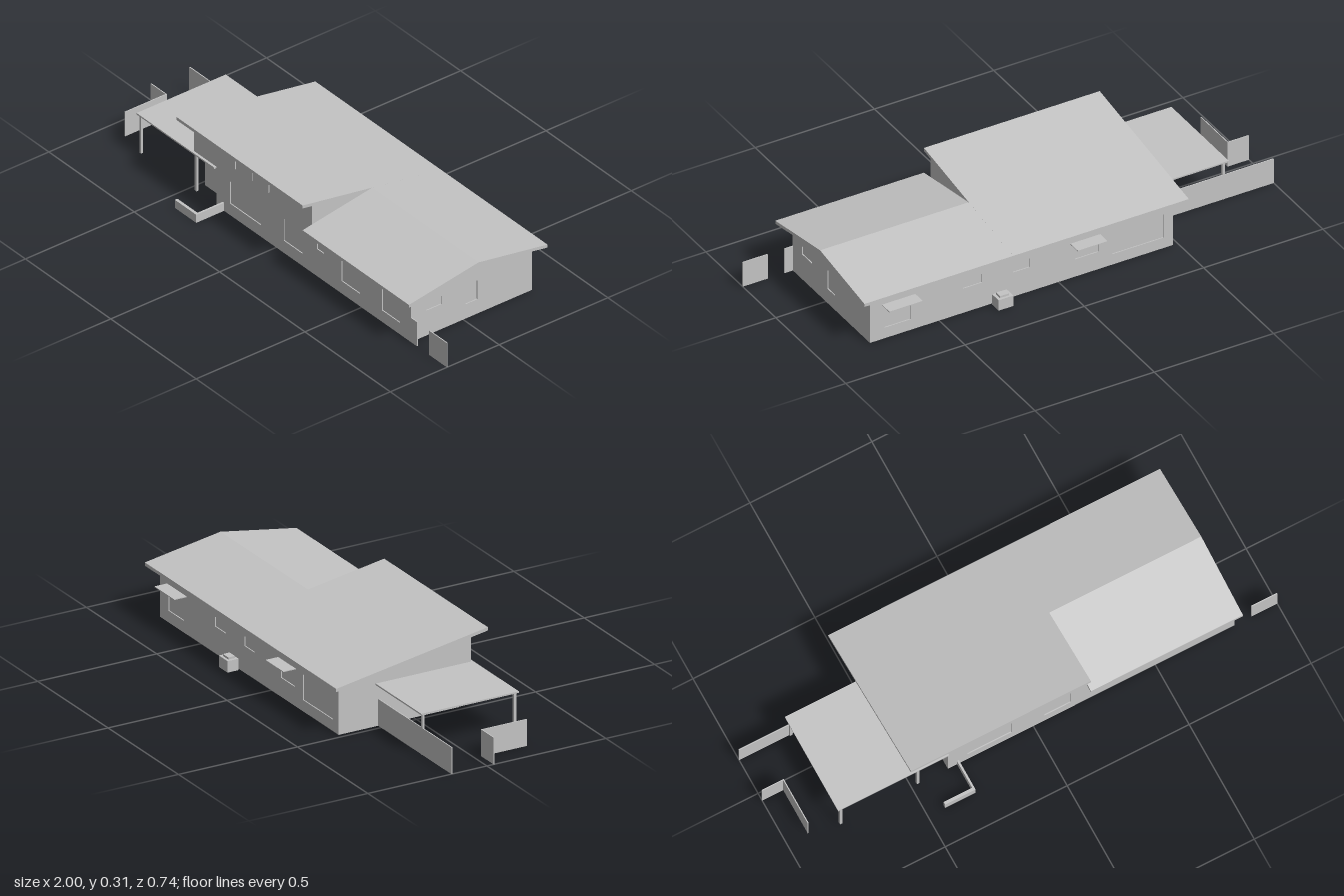
import * as THREE from 'three';

const T = 0.012; // wall thickness
const grey = new THREE.MeshStandardMaterial({ color: 0xc4c4c4, side: THREE.DoubleSide });
grey.name = 'plain grey';

// underside height of the long roof slope and of the low front slope
const highRoof = (z) => 0.257 + 0.165 * (z + 0.035) - 0.012;
const lowRoof = (z) => 0.257 - 0.168 * (z + 0.035) - 0.012;

export function createModel() {
  const house = new THREE.Group();
  house.name = 'house';

  const add = (parent, name, geometry) => {
    const m = new THREE.Mesh(geometry, grey);
    m.name = name;
    parent.add(m);
    return m;
  };
  const box = (name, x0, x1, y0, y1, z0, z1, parent = house) =>
    add(parent, name, new THREE.BoxGeometry(x1 - x0, y1 - y0, z1 - z0))
      .position.set((x0 + x1) / 2, (y0 + y1) / 2, (z0 + z1) / 2);
  const polygon = (pts) => new THREE.Shape(pts.map(([a, b]) => new THREE.Vector2(a, b)));

  // wall with recessed panes; openings are [a0, a1, y0, y1]
  const wall = (name, pts, openings = []) => {
    const g = new THREE.Group();
    g.name = name;
    const shape = polygon(pts);
    for (const [a0, a1, y0, y1] of openings) {
      shape.holes.push(polygon([[a0, y0], [a0, y1], [a1, y1], [a1, y0]]));
      box('windowPane', a0, a1, y0, y1, 0.004, 0.008, g);
    }
    add(g, 'wallPanel', new THREE.ExtrudeGeometry(shape, { depth: T, bevelEnabled: false }));
    house.add(g);
    return g;
  };
  const wallAlongX = (name, z, pts, openings) => {
    wall(name, pts, openings).position.z = z;
  };
  // points are given as (z, y); x is the outer right face
  const wallAlongZ = (name, x, pts, openings) => {
    const g = wall(name, pts, openings);
    g.rotation.y = -Math.PI / 2;
    g.position.x = x;
  };

  // front wall, with the porch opening at its low left corner
  const top = highRoof(0.24), low = lowRoof(0.24);
  wallAlongX('frontWall', 0.24 - T,
    [[-0.35, 0], [0.79, 0], [0.79, low], [0.21, low], [0.21, top], [-0.48, top], [-0.48, 0.165], [-0.35, 0.165]],
    [[-0.27, -0.09, 0.05, 0.146], [0.045, 0.153, 0.053, 0.147], [0.24, 0.28, 0.118, 0.147],
      [0.383, 0.49, 0.054, 0.147], [0.62, 0.725, 0.05, 0.147]]);
  for (let i = 0; i < 3; i++) {
    const x = -0.33 + i * 0.098;
    box('clerestoryWindow', x, x + 0.094, 0.217, 0.268, 0.24, 0.243);
  }

  // back wall
  const back = highRoof(-0.315);
  wallAlongX('backWall', -0.315,
    [[-0.48, 0], [0.79, 0], [0.79, back], [-0.48, back]],
    [[0.62, 0.73, 0.046, 0.14], [0.32, 0.4, 0.105, 0.143], [0.12, 0.19, 0.105, 0.143],
      [-0.17, -0.07, 0.075, 0.14], [-0.44, -0.225, 0.045, 0.145]]);

  // end walls and the raised wall between the two roofs
  const ridge = highRoof(-0.035);
  wallAlongZ('rightEndWall', 0.79,
    [[-0.315, 0], [0.24, 0], [0.24, low], [-0.035, ridge], [-0.315, back]],
    [[0.1, 0.17, 0.108, 0.143], [-0.065, -0.01, 0.062, 0.143]]);
  wallAlongZ('leftEndWall', -0.48 + T,
    [[-0.315, 0], [0.19, 0], [0.19, 0.165], [0.24, 0.165], [0.24, top], [-0.315, back]]);
  wallAlongZ('raisedRoofWall', 0.21, [[-0.035, ridge], [0.24, low], [0.24, top]]);

  // recessed porch
  box('porchBackWall', -0.48, -0.35, 0, 0.165, 0.19 - T, 0.19);
  box('porchSideWall', -0.35, -0.35 + T, 0, 0.165, 0.178, 0.24);

  // roofs, profile in (z, y) run along x
  const roof = (name, x0, x1, pts) => {
    const m = add(house, name,
      new THREE.ExtrudeGeometry(polygon(pts), { depth: x1 - x0, bevelEnabled: false }));
    m.rotation.y = -Math.PI / 2;
    m.position.x = x1;
  };
  roof('mainRoof', -0.525, 0.212,
    [[-0.352, 0.192], [0.285, 0.297], [0.285, 0.31], [-0.352, 0.205]]);
  roof('gableRoof', 0.212, 0.835,
    [[-0.352, 0.192], [-0.035, 0.244], [0.285, 0.19], [0.285, 0.203], [-0.035, 0.257], [-0.352, 0.205]]);

  // carport with thin posts
  box('carportRoof', -0.805, -0.48, 0.162, 0.168, -0.16, 0.25);
  box('porchRoof', -0.48, -0.35, 0.162, 0.168, 0.19, 0.25);
  for (const [x, z] of [[-0.79, 0.24], [-0.79, -0.145], [-0.472, 0.235]])
    box('carportPost', x - 0.005, x + 0.005, 0, 0.162, z - 0.005, z + 0.005);

  // fences and screens
  box('backFence', -1, -0.48, 0, 0.105, -0.149, -0.145);
  box('screenFront', -1, -0.912, 0, 0.105, 0.028, 0.032);
  box('screenSide', -0.914, -0.91, 0, 0.105, 0.028, 0.22);
  box('rightFence', 0.895, 1, 0, 0.105, 0.236, 0.24);
  box('rightFenceStub', 0.79, 0.825, 0, 0.105, 0.236, 0.24);

  // low planter wall
  box('planterFront', -0.43, -0.305, 0, 0.035, 0.356, 0.368);
  box('planterSide', -0.313, -0.305, 0, 0.035, 0.24, 0.356);

  // back awnings and service box
  box('awning', -0.175, -0.05, 0.146, 0.149, -0.368, -0.315);
  box('awning', 0.6, 0.74, 0.146, 0.149, -0.368, -0.315);
  box('serviceBox', 0.22, 0.282, 0, 0.045, -0.368, -0.322);
  box('serviceBoxCap', 0.232, 0.27, 0.045, 0.053, -0.358, -0.33);

  // interior partitions
  const H = 0.16;
  box('corridorWall', 0.1, 0.78, 0, H, 0.04, 0.048);
  box('corridorWall', -0.2, 0.6, 0, H, -0.068, -0.06);
  for (const x of [0.06, 0.3, 0.56]) box('frontPartition', x, x + 0.008, 0, H, 0.044, 0.23);
  for (const x of [-0.2, 0.1, 0.26, 0.44, 0.6]) box('backPartition', x, x + 0.008, 0, H, -0.305, -0.064);

  // simple furniture blocks, by centre and size
  for (const [x, z, w, d] of [[0.68, 0.155, 0.1, 0.13], [0.52, -0.18, 0.1, 0.13], [0.69, -0.05, 0.08, 0.08],
    [0.42, 0.17, 0.11, 0.1], [0.18, 0.135, 0.1, 0.12], [0.19, -0.16, 0.08, 0.12], [0.36, -0.15, 0.08, 0.12],
    [-0.19, 0.1, 0.1, 0.1], [-0.35, 0.11, 0.08, 0.1], [-0.1, -0.24, 0.14, 0.07], [-0.39, -0.17, 0.1, 0.14]])
    box('furniture', x - w / 2, x + w / 2, 0.01, 0.04, z - d / 2, z + d / 2);

  return house;
}
